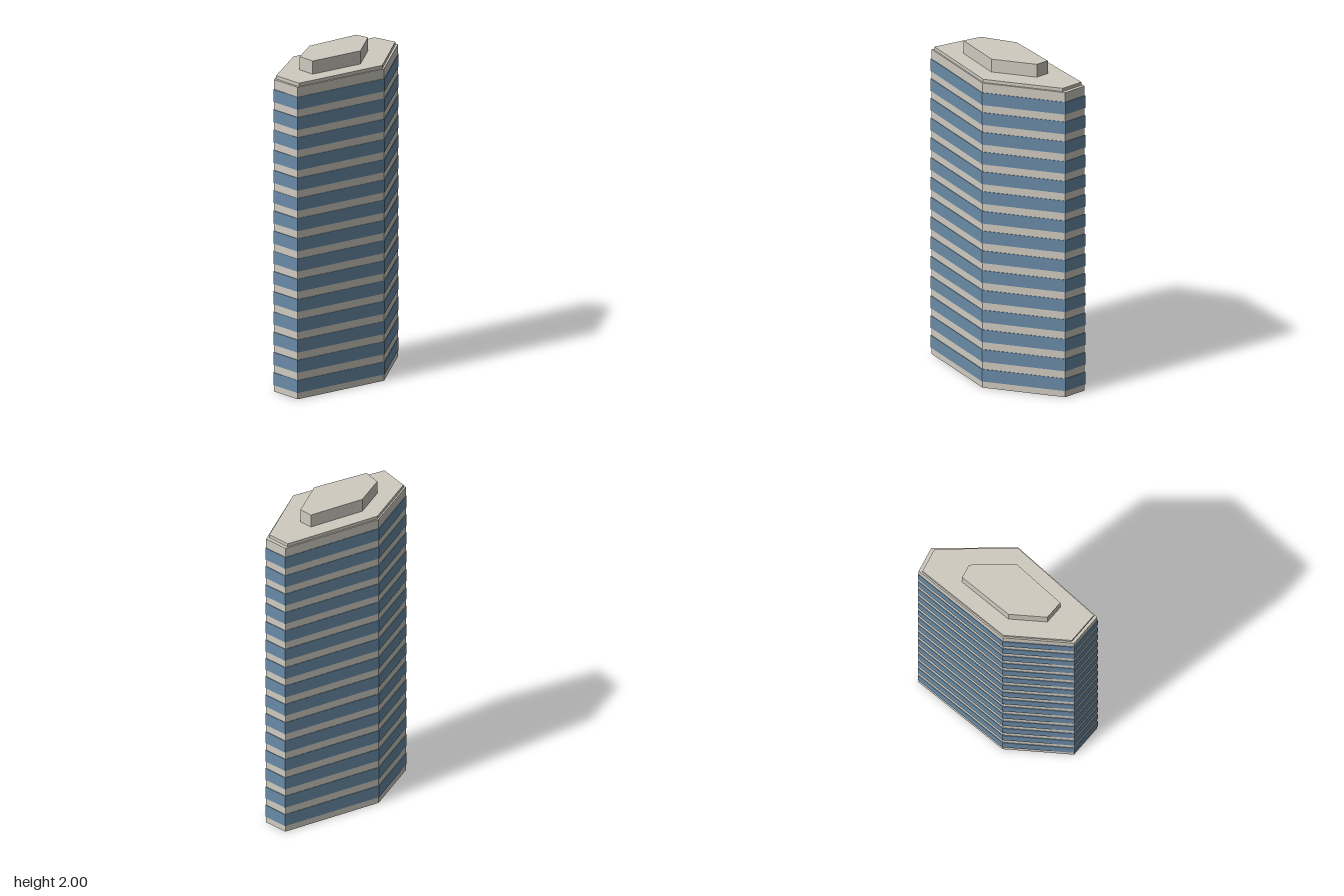
import * as THREE from 'three';

// Plan outlines as [x, z] corners
const GLASS_PLAN = [[-0.505, 0.075], [-0.475, 0.289], [0.161, 0.241], [0.503, -0.14], [0.447, -0.291], [-0.196, -0.211]];
const WALL_PLAN = [[-0.501, 0.075], [-0.472, 0.285], [0.159, 0.238], [0.499, -0.139], [0.444, -0.288], [-0.194, -0.208]];
const SLAB_PLAN = [[-0.484, 0.072], [-0.456, 0.274], [0.152, 0.23], [0.476, -0.134], [0.424, -0.277], [-0.19, -0.2]];
const PENTHOUSE_PLAN = [[-0.303, 0.045], [-0.288, 0.162], [0.06, 0.137], [0.246, -0.07], [0.217, -0.153], [-0.135, -0.11]];

// Upright prism over a plan outline, from y0 to y1
function prism(name, plan, y0, y1, material) {
  const shape = new THREE.Shape(plan.map(([x, z]) => new THREE.Vector2(x, -z)));
  const geometry = new THREE.ExtrudeGeometry(shape, { depth: y1 - y0, bevelEnabled: false });
  geometry.rotateX(-Math.PI / 2);
  geometry.translate(0, y0, 0);
  const mesh = new THREE.Mesh(geometry, material);
  mesh.name = name;
  return mesh;
}

export function createModel() {
  const concrete = new THREE.MeshStandardMaterial({ color: 0xcfcbc0 });
  concrete.name = 'concrete';
  const glass = new THREE.MeshStandardMaterial({ color: 0x6a8ba7 });
  glass.name = 'blueGlass';

  const tower = new THREE.Group();
  tower.name = 'officeTower';

  // Main shaft, roof slab and plant room
  tower.add(prism('towerShaft', WALL_PLAN, 0, 1.9, concrete));
  tower.add(prism('roofSlab', SLAB_PLAN, 1.9, 1.92, concrete));
  tower.add(prism('penthouse', PENTHOUSE_PLAN, 1.92, 2, concrete));

  // Ribbon windows, one slightly proud band per floor
  const bands = new THREE.Group();
  bands.name = 'windowBands';
  for (let i = 0; i < 15; i++) {
    const y = 0.039 + i * 0.1232;
    bands.add(prism(`windowBand${i + 1}`, GLASS_PLAN, y, y + 0.077, glass));
  }
  tower.add(bands);
  return tower;
}
